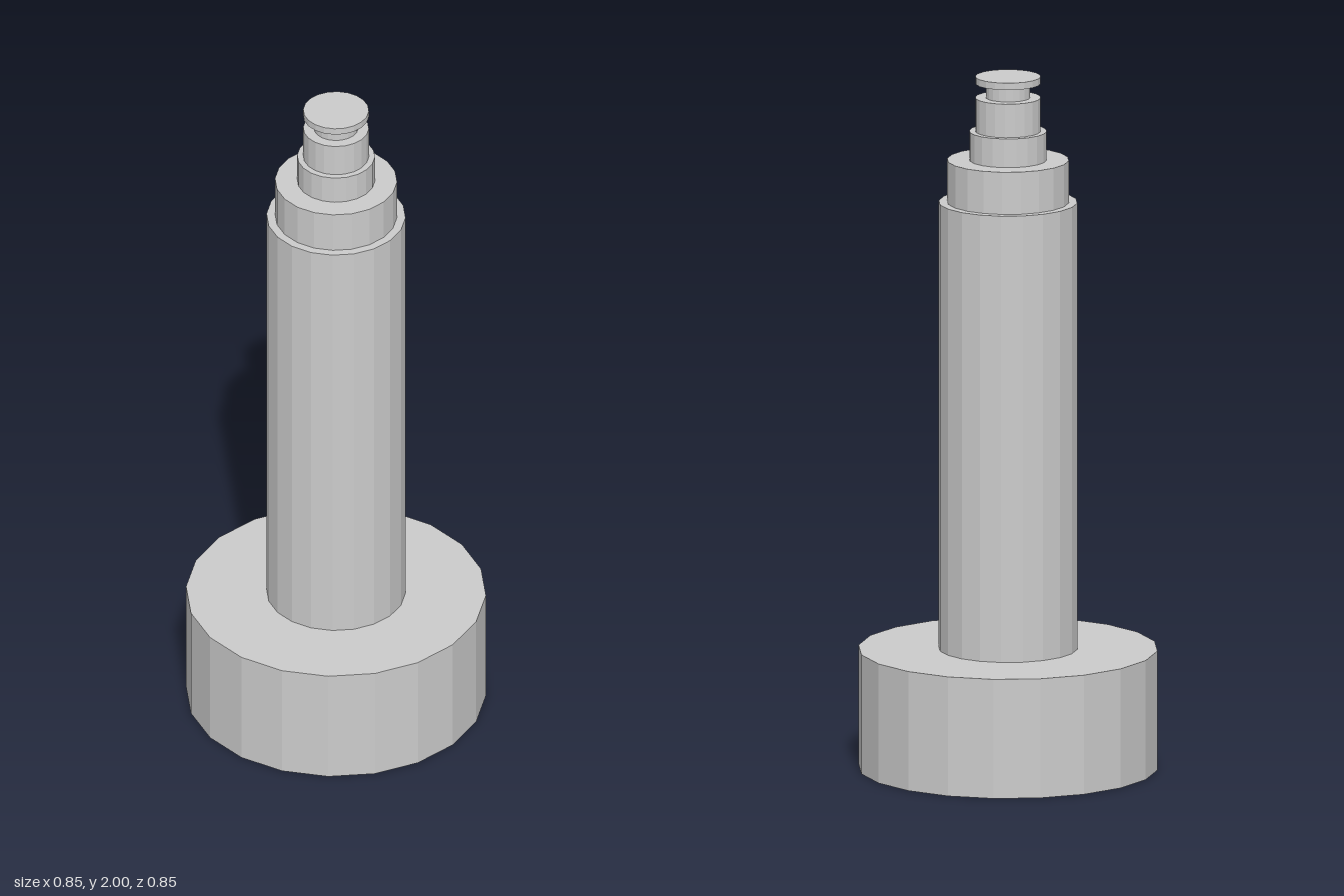
import * as THREE from 'three';

export function createModel() {
  const group = new THREE.Group();
  const material = new THREE.MeshStandardMaterial({ color: 0xcccccc, flatShading: true });

  // Stacked 20-sided drums: name, radius, bottom, top
  const drums = [
    ['base', 0.425, 0, 0.345],
    ['shaft', 0.197, 0.345, 1.637],
    ['lowerCollar', 0.173, 1.637, 1.759],
    ['upperCollar', 0.11, 1.759, 1.842],
    ['head', 0.093, 1.842, 1.939],
    ['neck', 0.063, 1.939, 1.98],
    ['cap', 0.093, 1.98, 2],
  ];
  for (const [name, radius, bottom, top] of drums) {
    const mesh = new THREE.Mesh(new THREE.CylinderGeometry(radius, radius, top - bottom, 20), material);
    mesh.name = name;
    mesh.position.y = (bottom + top) / 2;
    group.add(mesh);
  }
  return group;
}
